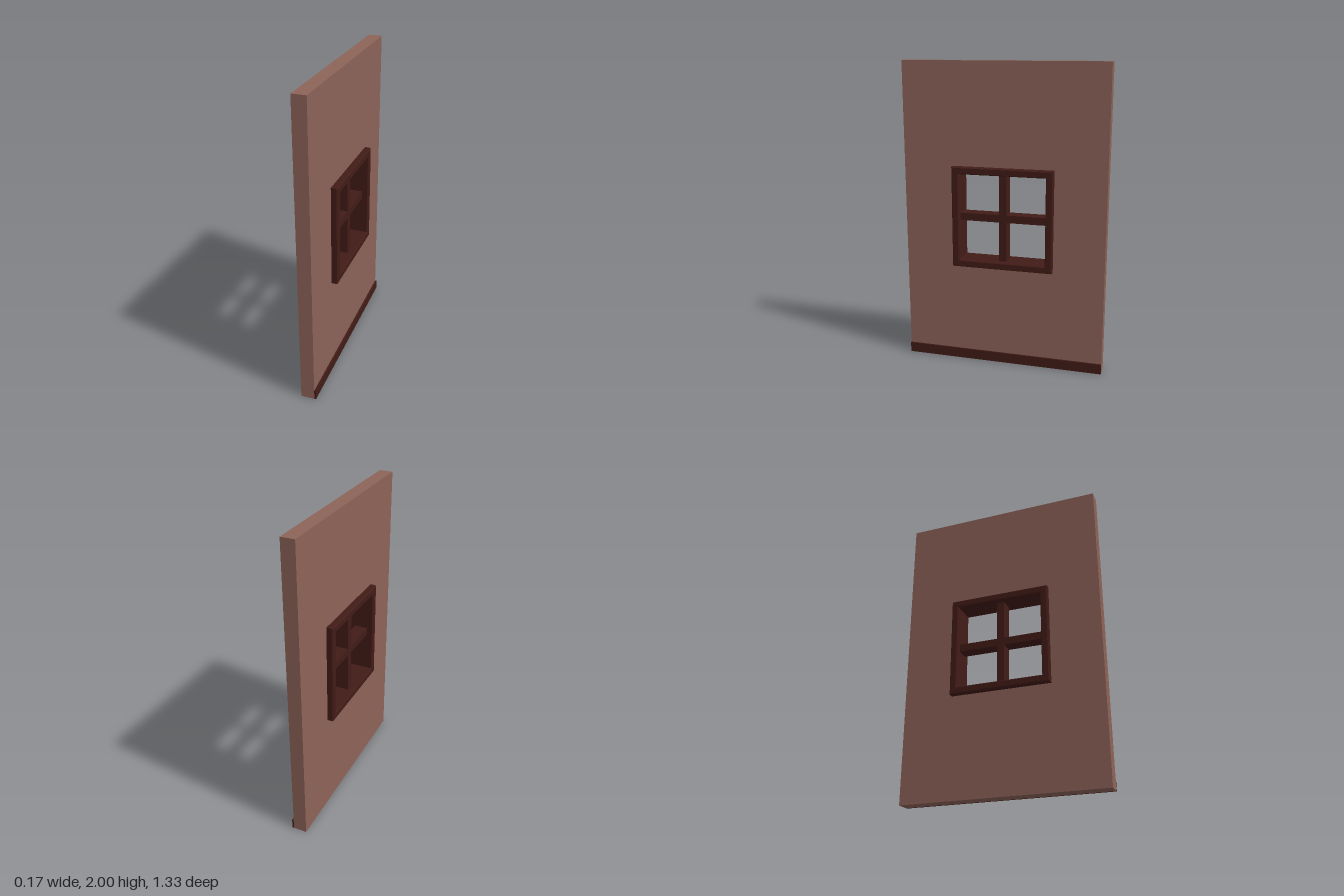
import * as THREE from 'three';

const WALL = { depth: 0.667, height: 2, thick: 0.089 };
const WINDOW = { half: 0.333, rail: 0.046, thick: 0.173, centerY: 1.003 };

// Rectangle path in the wall plane (u runs along z, v along y)
function rect(path, u, v0, v1) {
  path.moveTo(-u, v0);
  path.lineTo(u, v0);
  path.lineTo(u, v1);
  path.lineTo(-u, v1);
  path.closePath();
  return path;
}

// Panel with a window hole, extruded through x and centred on x = 0
function panel(outer, hole, thick, bevel = 0) {
  const shape = rect(new THREE.Shape(), ...outer);
  shape.holes.push(rect(new THREE.Path(), ...hole));
  const geometry = new THREE.ExtrudeGeometry(shape, {
    depth: thick - 2 * bevel,
    bevelEnabled: bevel > 0,
    bevelThickness: bevel,
    bevelSize: bevel,
    bevelOffset: -bevel,
    bevelSegments: 1,
  });
  geometry.translate(0, 0, bevel - thick / 2);
  geometry.rotateY(Math.PI / 2);
  return geometry;
}

export function createModel() {
  const model = new THREE.Group();
  model.name = 'wallWithWindow';
  const plaster = new THREE.MeshStandardMaterial({ color: 0x8d6358 });
  const wood = new THREE.MeshStandardMaterial({ color: 0x421c17 });

  const add = (name, geometry, material, x = 0, y = 0, z = 0) => {
    const mesh = new THREE.Mesh(geometry, material);
    mesh.name = name;
    mesh.position.set(x, y, z);
    model.add(mesh);
  };

  const { half, rail, thick, centerY } = WINDOW;
  const square = (r) => [r, centerY - r, centerY + r];
  const inner = half - rail;

  // Wall slab; its opening is hidden behind the frame
  add('wall', panel([WALL.depth, 0, WALL.height], square(half - 0.015), WALL.thick), plaster);

  // Window frame standing proud on both faces, with lightly chamfered edges
  add('windowFrame', panel(square(half), square(inner), thick, 0.006), wood);

  // Crossing glazing bars, as thick as the wall
  const barLength = 2 * inner + 0.02;
  add('verticalBar', new THREE.BoxGeometry(WALL.thick, barLength, 0.05), wood, 0, centerY);
  add('horizontalBar', new THREE.BoxGeometry(WALL.thick - 0.001, 0.05, barLength), wood, 0, centerY);

  // Skirting board along the foot of one face
  const skirt = 0.011;
  add('skirtingBoard', new THREE.BoxGeometry(skirt, 0.067, 2 * WALL.depth), wood,
    WALL.thick / 2 + skirt / 2, 0.0335);

  return model;
}
